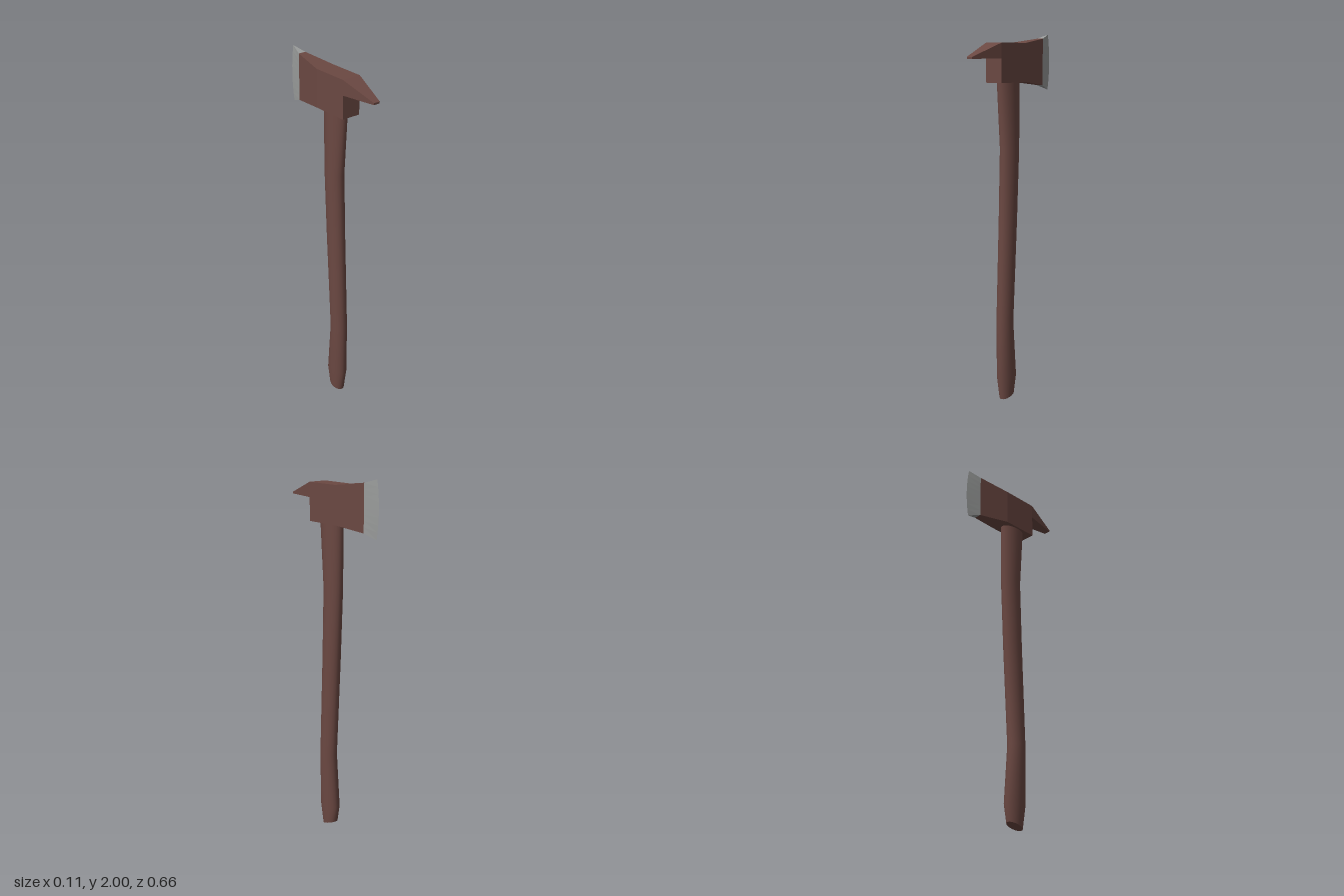
import * as THREE from 'three';
import { toCreasedNormals } from 'three/addons/utils/BufferGeometryUtils.js';

// Skins a list of equal-length rings, each counter-clockwise seen from the last ring's end.
function loft(rings, capStart = true, capEnd = true) {
  const pos = [];
  const tri = (a, b, c) => pos.push(...a, ...b, ...c);
  const n = rings[0].length;
  for (let r = 0; r < rings.length - 1; r++) {
    const a = rings[r], b = rings[r + 1];
    for (let i = 0; i < n; i++) {
      const j = (i + 1) % n;
      tri(a[i], a[j], b[j]);
      tri(a[i], b[j], b[i]);
    }
  }
  const first = rings[0], last = rings[rings.length - 1];
  for (let i = 1; i < n - 1; i++) {
    if (capStart) tri(first[0], first[i + 1], first[i]);
    if (capEnd) tri(last[0], last[i], last[i + 1]);
  }
  const geo = new THREE.BufferGeometry();
  geo.setAttribute('position', new THREE.Float32BufferAttribute(pos, 3));
  geo.computeVertexNormals();
  return geo;
}

// Rectangular cross-section at z.
const rect = (z, hx, y0, y1) => [[hx, y0, z], [hx, y1, z], [-hx, y1, z], [-hx, y0, z]];

// Oval cross-section; its front and back ends may sit at different heights.
function oval([yFront, yBack, zFront, zBack, hx], sides = 20) {
  return Array.from({ length: sides }, (_, i) => {
    const t = (i / sides) * Math.PI * 2;
    const f = (1 - Math.sin(t)) / 2;
    return [
      hx * Math.cos(t),
      THREE.MathUtils.lerp(yBack, yFront, f),
      THREE.MathUtils.lerp(zBack, zFront, f),
    ];
  });
}

// Blade cross-section: up one side and down the other, with z bowed outwards at mid height.
function bladeRing(z, bow, hx, y0, y1, steps = 8) {
  const side = (x) => Array.from({ length: steps + 1 }, (_, i) => {
    const f = i / steps;
    return [x, y0 + (y1 - y0) * f, z - bow * (1 - (2 * f - 1) ** 2)];
  });
  return [...side(hx), ...side(-hx).reverse()];
}

export function createModel() {
  const brown = new THREE.MeshStandardMaterial({ color: 0x6b4842 });
  brown.name = 'dark brown';
  const steel = new THREE.MeshStandardMaterial({ color: 0x9a9c9b });
  steel.name = 'bare steel';

  const model = new THREE.Group();
  model.name = 'axe';
  const add = (name, geo, mat) => {
    const mesh = new THREE.Mesh(geo, mat);
    mesh.name = name;
    model.add(mesh);
  };

  // Curved handle: front height, back height, front z, back z, half width
  const handle = [
    [0.0, 0.03, 0.09, -0.005, 0.035],
    [0.13, 0.125, 0.11, -0.022, 0.043],
    [0.45, 0.44, 0.11, 0.005, 0.043],
    [1.0, 1.0, 0.09, -0.028, 0.043],
    [1.4, 1.4, 0.079, -0.047, 0.043],
    [1.77, 1.77, 0.107, -0.053, 0.043],
  ].map((s) => oval(s));
  add('handle', toCreasedNormals(loft(handle), 0.6), brown);

  // Head: socket block that thins and flares towards the blade
  add('head', loft([
    rect(-0.245, 0.021, 1.727, 1.978),
    rect(-0.06, 0.053, 1.75, 1.955),
    rect(0.145, 0.053, 1.75, 1.955),
  ]), brown);

  // Pick with a flat underside
  add('pick', loft([
    rect(0.145, 0.053, 1.875, 1.955),
    rect(0.332, 0.018, 1.875, 1.885),
  ], false), brown);

  // Sharpened blade with a bowed edge
  add('blade', loft([
    bladeRing(-0.318, 0.014, 0, 1.7, 2.0),
    bladeRing(-0.245, 0, 0.021, 1.727, 1.978),
  ], false, false), steel);

  return model;
}
